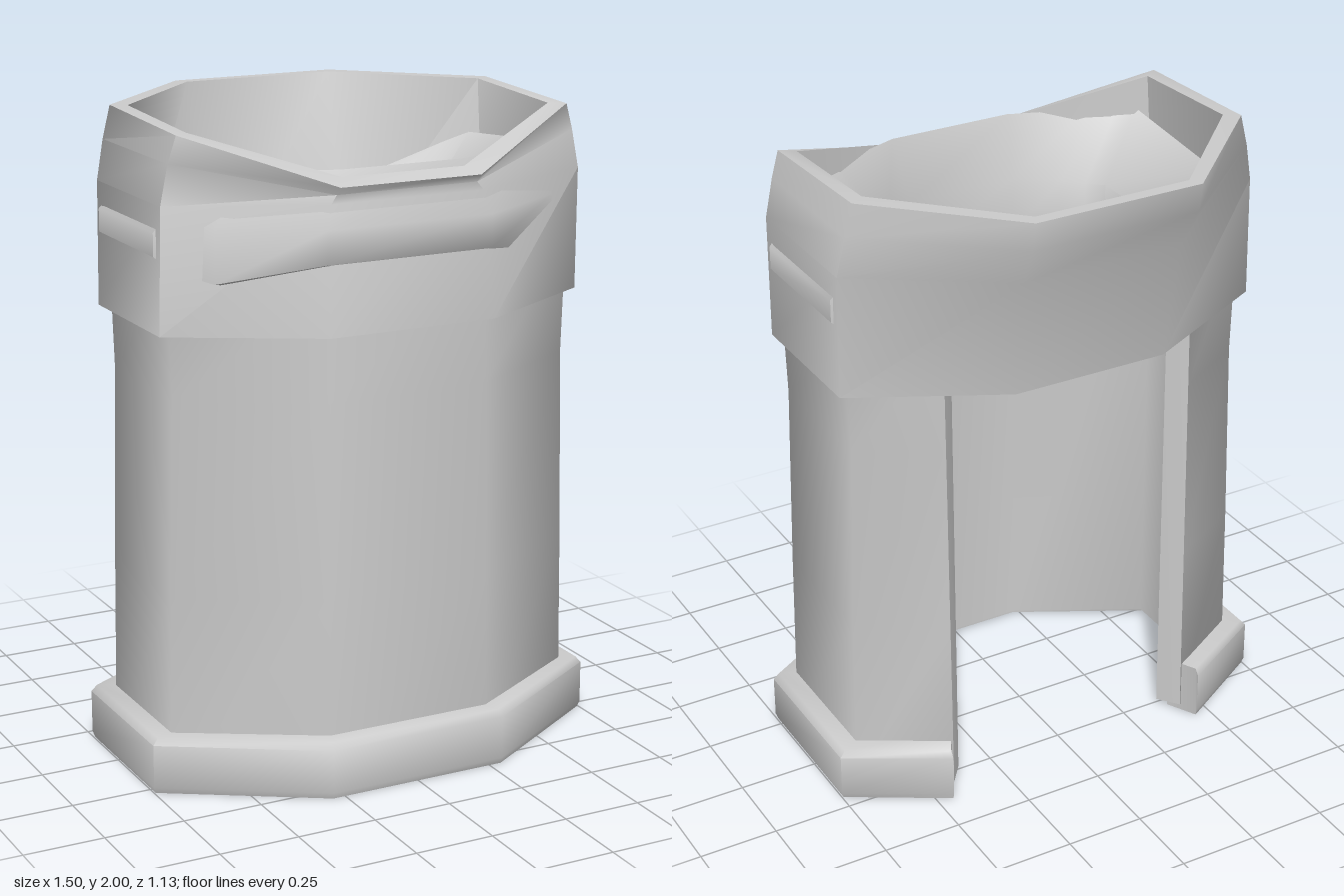
import * as THREE from 'three';
import { toCreasedNormals } from 'three/addons/utils/BufferGeometryUtils.js';

const material = new THREE.MeshStandardMaterial({ color: 0xcccccc });

// Half path of [x, y, z] points (front to back, +x side) -> full mirrored path.
const mirrorPath = (half) => [
  ...half.map(([x, y, z]) => [-x, y, z]).reverse(),
  ...half,
];

// Half path of [x, z] points at a constant height.
const level = (y, half) => half.map(([x, z]) => [x, y, z]);

// Solid swept around the octagon: each rail is one corner of the wall section.
// closed = full ring, otherwise a C shape with capped ends.
function shell(name, halfRails, closed, crease = 1.1) {
  const rails = halfRails.map(mirrorPath);
  const k = rails.length, n = rails[0].length;
  const positions = rails.flat(2), index = [];
  const id = (r, i) => (r % k) * n + (i % n);
  for (let r = 0; r < k; r++) {
    for (let i = 0; i < (closed ? n : n - 1); i++) {
      const a = id(r, i), b = id(r, i + 1), c = id(r + 1, i + 1), d = id(r + 1, i);
      index.push(a, b, c, a, c, d);
    }
  }
  if (!closed) {
    for (let r = 1; r < k - 1; r++) {
      index.push(id(0, 0), id(r, 0), id(r + 1, 0));
      index.push(id(0, n - 1), id(r + 1, n - 1), id(r, n - 1));
    }
  }
  // Make the faces point outwards, judged by the enclosed volume
  const v = (i) => new THREE.Vector3().fromArray(positions, i * 3);
  let volume = 0;
  for (let t = 0; t < index.length; t += 3) {
    volume += v(index[t]).dot(v(index[t + 1]).cross(v(index[t + 2])));
  }
  if (volume < 0) index.reverse();
  const geometry = new THREE.BufferGeometry();
  geometry.setAttribute('position', new THREE.Float32BufferAttribute(positions, 3));
  geometry.setIndex(index);
  const mesh = new THREE.Mesh(toCreasedNormals(geometry, crease), material);
  mesh.name = name;
  return mesh;
}

export function createModel() {
  const group = new THREE.Group();
  group.name = 'cuff';

  // Tall C-shaped sleeve, open at the back
  group.add(shell('sleeve', [
    level(0.02, [[0.27, 0.5], [0.685, 0.26], [0.685, -0.17], [0.42, -0.325]]),
    level(0.6, [[0.265, 0.495], [0.675, 0.26], [0.675, -0.17], [0.42, -0.315]]),
    level(1.2, [[0.26, 0.485], [0.66, 0.26], [0.66, -0.17], [0.42, -0.305]]),
    level(1.55, [[0.25, 0.475], [0.67, 0.26], [0.67, -0.17], [0.42, -0.3]]),
    level(1.55, [[0.21, 0.41], [0.6, 0.21], [0.6, -0.13], [0.37, -0.25]]),
    level(0.02, [[0.22, 0.43], [0.61, 0.22], [0.61, -0.13], [0.37, -0.26]]),
  ], false));

  // Thick rim around the foot, softened on its outer edges
  group.add(shell('footRim', [
    level(0, [[0.29, 0.56], [0.745, 0.28], [0.745, -0.2], [0.45, -0.375]]),
    level(0.02, [[0.29, 0.567], [0.752, 0.285], [0.752, -0.205], [0.45, -0.38]]),
    level(0.155, [[0.29, 0.567], [0.752, 0.285], [0.752, -0.205], [0.45, -0.38]]),
    level(0.175, [[0.285, 0.55], [0.735, 0.28], [0.735, -0.2], [0.45, -0.365]]),
    level(0.175, [[0.23, 0.44], [0.62, 0.23], [0.62, -0.14], [0.4, -0.27]]),
    level(0, [[0.23, 0.45], [0.64, 0.23], [0.64, -0.14], [0.4, -0.28]]),
  ], false));

  // Closed collar, flaring to the back with a dip in the front edge
  group.add(shell('collar', [
    level(1.4, [[0.27, 0.51], [0.7, 0.27], [0.7, -0.19], [0.25, -0.42]]),
    level(1.78, [[0.25, 0.47], [0.695, 0.28], [0.695, -0.19], [0.26, -0.48]]),
    [[0.23, 1.805, 0.465], [0.67, 1.9, 0.28], [0.67, 1.9, -0.2], [0.27, 1.91, -0.55]],
    [[0.23, 1.83, 0.49], [0.645, 1.98, 0.285], [0.645, 2, -0.2], [0.27, 2, -0.565]],
    [[0.2, 1.85, 0.44], [0.6, 1.98, 0.25], [0.6, 2, -0.17], [0.25, 2, -0.525]],
    level(1.4, [[0.22, 0.42], [0.62, 0.22], [0.62, -0.15], [0.21, -0.34]]),
  ], true));

  // Inner C-shaped lining roll; its outer face just breaks through the collar
  const outer = [[0.27, 0.49], [0.56, 0.348], [0.64, 0.27], [0.704, 0.245],
    [0.704, -0.16], [0.6, -0.19], [0.3, -0.27]];
  const low = [1.61, 1.555, 1.58, 1.63, 1.63, 1.55, 1.48];
  const high = [1.71, 1.72, 1.72, 1.7, 1.7, 1.7, 1.7];
  const inner = [[0.18, 0.36], [0.3, 0.27], [0.36, 0.22], [0.41, 0.18],
    [0.41, -0.1], [0.36, -0.14], [0.26, -0.22]];
  group.add(shell('lining', [
    outer.map(([x, z], i) => [x, low[i], z]),
    outer.map(([x, z], i) => [x, high[i], z]),
    [[0.2, 1.87, 0.43], [0.44, 1.87, 0.34], [0.52, 1.87, 0.3], [0.575, 1.87, 0.27],
      [0.575, 1.83, -0.18], [0.5, 1.8, -0.21], [0.29, 1.72, -0.26]],
    level(1.68, inner),
    level(1.5, inner),
  ], false));

  return group;
}
